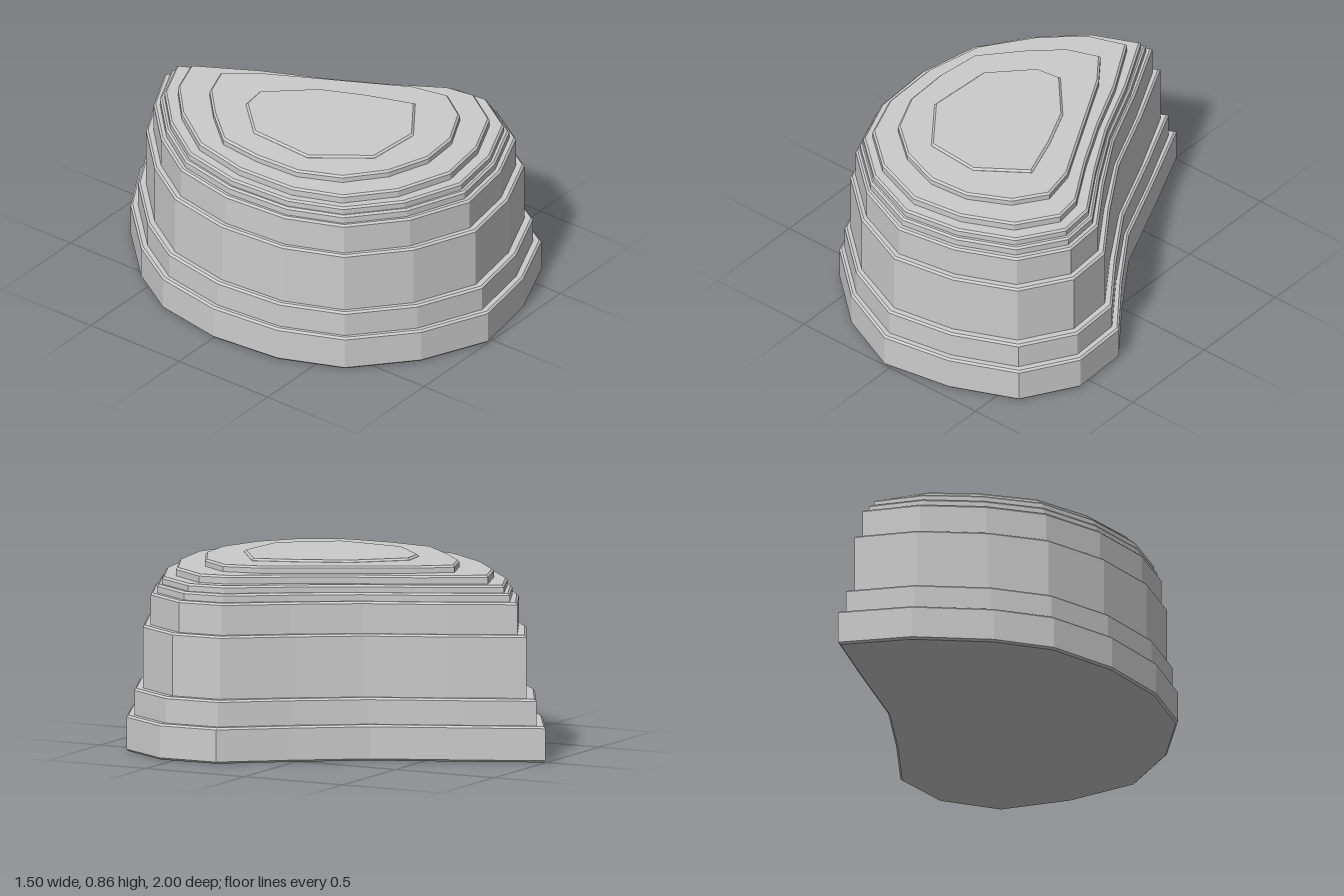
import * as THREE from 'three';

// Contour outlines as [x, z] pairs, all starting at the pointed back tip
const BASE = [[0.01, -1], [-0.28, -0.83], [-0.54, -0.57], [-0.69, -0.33], [-0.75, 0], [-0.72, 0.34], [-0.6, 0.63], [-0.34, 0.86],
  [-0.03, 1], [0.3, 0.945], [0.6, 0.815], [0.75, 0.565], [0.74, 0.285], [0.53, 0.01], [0.33, -0.28], [0.16, -0.67]];
const SHOULDER = [[-0.02, -0.69], [-0.2, -0.625], [-0.365, -0.475], [-0.525, -0.25], [-0.585, 0.02], [-0.575, 0.31], [-0.49, 0.53], [-0.295, 0.695],
  [-0.035, 0.79], [0.21, 0.755], [0.435, 0.65], [0.555, 0.47], [0.535, 0.335], [0.39, 0.095], [0.255, -0.16], [0.135, -0.42]];
const CROWN = [[-0.03, -0.515], [-0.18, -0.46], [-0.32, -0.33], [-0.47, -0.16], [-0.495, 0.05], [-0.485, 0.27], [-0.4, 0.46], [-0.235, 0.595],
  [-0.035, 0.665], [0.155, 0.65], [0.34, 0.555], [0.44, 0.41], [0.405, 0.24], [0.285, 0.015], [0.2, -0.145], [0.08, -0.37]];
const SUMMIT = [[-0.06, -0.27], [-0.18, -0.255], [-0.35, -0.08], [-0.37, 0.24], [-0.19, 0.48],
  [0.07, 0.5], [0.285, 0.345], [0.21, 0.13], [0.12, -0.07]];

const blend = (a, b, t) => a.map((p, i) => [p[0] + (b[i][0] - p[0]) * t, p[1] + (b[i][1] - p[1]) * t]);

// Flat slab with small chamfers, from y = bottom to y = top
function slab(outline, bottom, top, bevel) {
  const shape = new THREE.Shape(outline.map(([x, z]) => new THREE.Vector2(x, -z)));
  const geometry = new THREE.ExtrudeGeometry(shape, {
    depth: top - bottom - 2 * bevel, bevelEnabled: true, bevelSegments: 1,
    bevelThickness: bevel, bevelSize: bevel, bevelOffset: -bevel,
  });
  geometry.rotateX(-Math.PI / 2);
  geometry.translate(0, bottom + bevel, 0);
  return geometry;
}

export function createModel() {
  const group = new THREE.Group();
  group.name = 'terracedHill';
  const material = new THREE.MeshStandardMaterial({ color: 0xcccccc, flatShading: true });

  // Terraces from the ground up: outline and top height
  const terraces = [
    [BASE, 0.163],
    [blend(BASE, SHOULDER, 0.16), 0.283],
    [blend(BASE, SHOULDER, 0.33), 0.568],
    [blend(BASE, SHOULDER, 0.49), 0.712],
    [blend(BASE, SHOULDER, 0.62), 0.75],
    [blend(BASE, SHOULDER, 0.72), 0.784],
    [SHOULDER, 0.822],
    [CROWN, 0.854],
    [SUMMIT, 0.864],
  ];
  let below = 0;
  terraces.forEach(([outline, top], i) => {
    // Each terrace is sunk slightly into the one below
    const mesh = new THREE.Mesh(slab(outline, i ? below - 0.015 : 0, top, 0.009), material);
    mesh.name = `terrace${i + 1}`;
    group.add(mesh);
    below = top;
  });
  return group;
}
